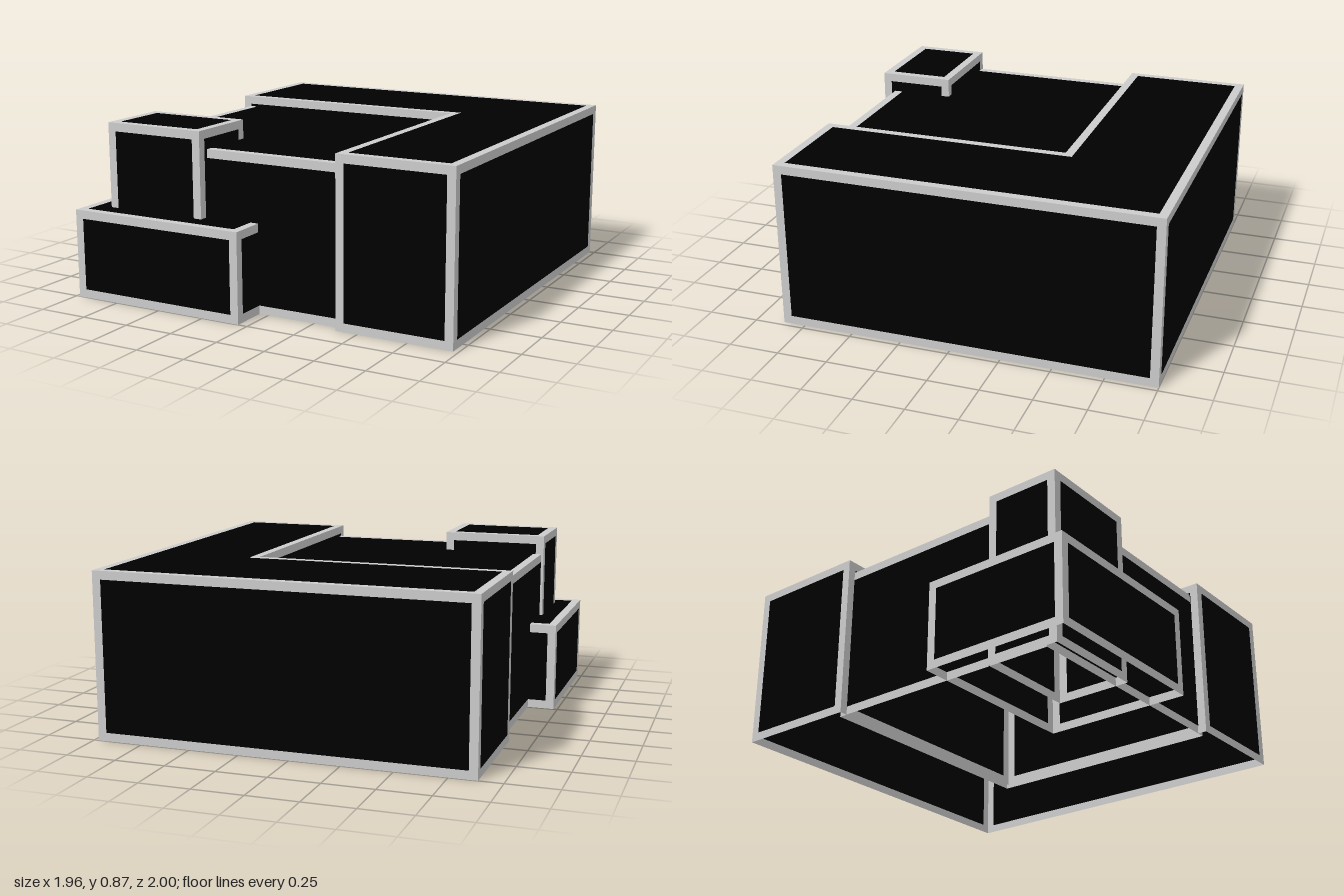
import * as THREE from 'three';
import { mergeGeometries } from 'three/addons/utils/BufferGeometryUtils.js';

const BORDER = 0.042;
const frameMat = new THREE.MeshStandardMaterial({ color: 0xcccccc, side: THREE.DoubleSide });
const panelMat = new THREE.MeshStandardMaterial({ color: 0x000000, side: THREE.DoubleSide });

// Moves a counterclockwise right-angled outline inwards by the border width
function inset(points) {
  const n = points.length;
  return points.map((p, i) => {
    const before = p.clone().sub(points[(i + n - 1) % n]).normalize();
    const after = points[(i + 1) % n].clone().sub(p).normalize();
    return new THREE.Vector2(
      p.x - BORDER * (before.y + after.y),
      p.y + BORDER * (before.x + after.x));
  });
}

// One flat face: a border ring and the panel that fills it
function borderedFace(points, matrix) {
  const inner = inset(points);
  const ring = new THREE.Shape(points);
  ring.holes.push(new THREE.Path(inner));
  return {
    frame: new THREE.ShapeGeometry(ring).applyMatrix4(matrix),
    panel: new THREE.ShapeGeometry(new THREE.Shape(inner)).applyMatrix4(matrix),
  };
}

// A block with walls and a roof, open below; footprint is [x, z], counterclockwise from above
function block(name, footprint, height) {
  const faces = footprint.map(([ax, az], i) => {
    const [bx, bz] = footprint[(i + 1) % footprint.length];
    const length = Math.hypot(bx - ax, bz - az);
    const rect = [[0, 0], [length, 0], [length, height], [0, height]]
      .map(([x, y]) => new THREE.Vector2(x, y));
    const place = new THREE.Matrix4().makeRotationY(Math.atan2(az - bz, bx - ax));
    return borderedFace(rect, place.setPosition(ax, 0, az));
  });
  const roof = footprint.map(([x, z]) => new THREE.Vector2(x, -z));
  faces.push(borderedFace(roof,
    new THREE.Matrix4().makeRotationX(-Math.PI / 2).setPosition(0, height, 0)));

  const group = new THREE.Group();
  group.name = name;
  for (const [part, material] of [['frame', frameMat], ['panel', panelMat]]) {
    const mesh = new THREE.Mesh(mergeGeometries(faces.map((f) => f[part])), material);
    mesh.name = part === 'frame' ? 'edgeFrames' : 'wallPanels';
    group.add(mesh);
  }
  return group;
}

const rectangle = (x0, x1, z0, z1) => [[x0, z1], [x1, z1], [x1, z0], [x0, z0]];

export function createModel() {
  const model = new THREE.Group();
  model.name = 'building';
  model.add(
    // L-shaped wing along the back and the left side
    block('mainWing', [
      [0.39, 0.86], [0.975, 0.86], [0.975, -1], [-0.885, -1], [-0.885, -0.378], [0.39, -0.378],
    ], 0.825),
    // Slightly lower hall in the elbow of the wing
    block('hall', rectangle(-0.845, 0.432, -0.42, 0.815), 0.77),
    // Low block across the front corner
    block('lowBlock', rectangle(-0.98, -0.048, 0.252, 1), 0.442),
    // Tower rising through the low block
    block('tower', rectangle(-0.858, -0.327, 0.5, 0.877), 0.865),
  );
  return model;
}
